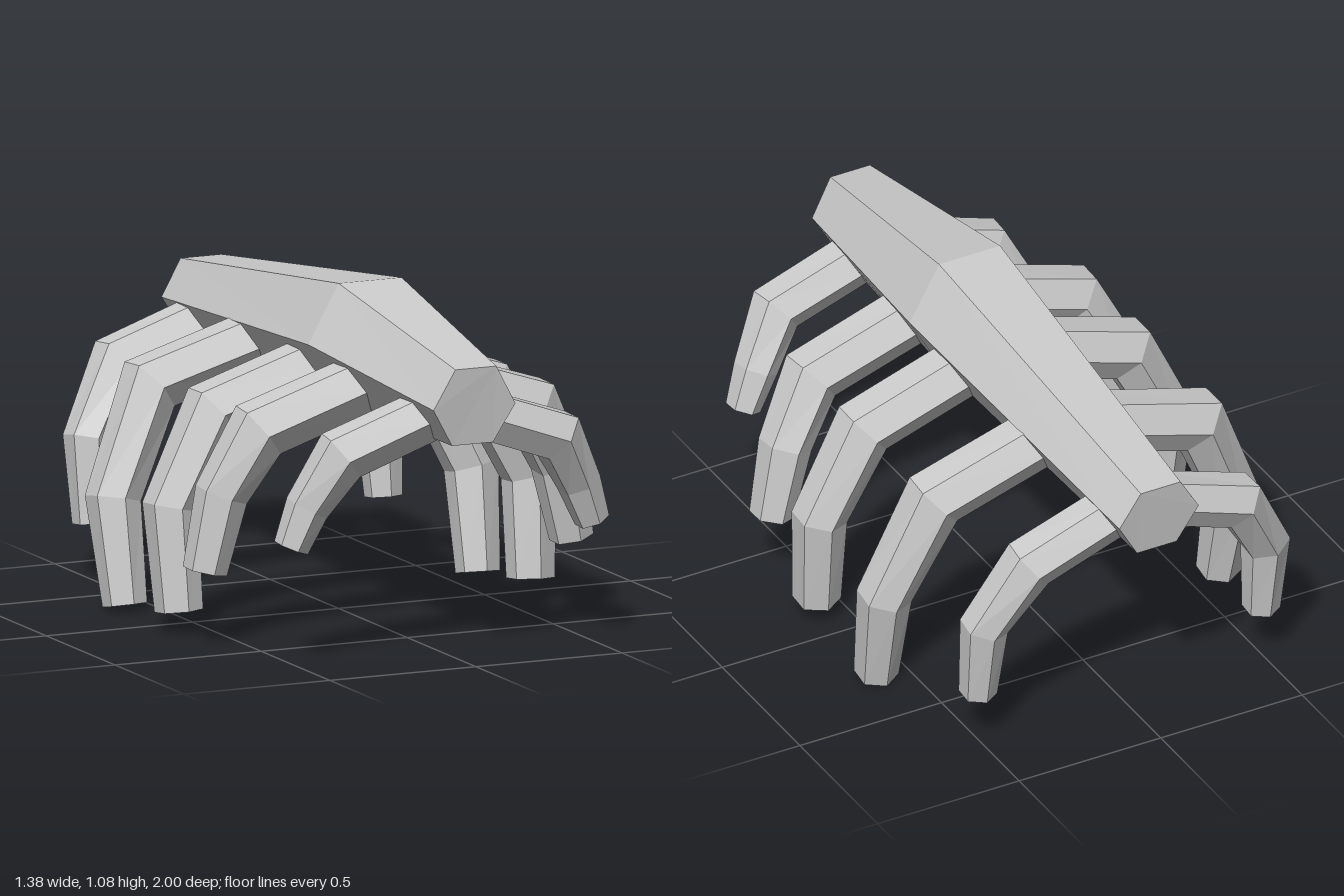
import * as THREE from 'three';

const material = new THREE.MeshStandardMaterial({ color: 0xcccccc, flatShading: true });

// Skins a list of rings (counter-clockwise about the direction of travel) and caps both ends.
function loft(rings) {
  const pos = [];
  const tri = (...pts) => pts.forEach((p) => pos.push(p.x, p.y, p.z));
  const n = rings[0].length;
  for (let k = 0; k < rings.length - 1; k++) {
    for (let i = 0; i < n; i++) {
      const j = (i + 1) % n;
      tri(rings[k][i], rings[k][j], rings[k + 1][j]);
      tri(rings[k][i], rings[k + 1][j], rings[k + 1][i]);
    }
  }
  const first = rings[0], last = rings[rings.length - 1];
  for (let i = 1; i < n - 1; i++) {
    tri(first[0], first[i + 1], first[i]);
    tri(last[0], last[i], last[i + 1]);
  }
  const geometry = new THREE.BufferGeometry();
  geometry.setAttribute('position', new THREE.Float32BufferAttribute(pos, 3));
  geometry.computeVertexNormals();
  return geometry;
}

// Six-sided tube along a bent path of [x, y, z, radius], mitred at the bends.
function ribGeometry(path, side) {
  const pts = path.map(([x, y, z]) => new THREE.Vector3(side * x, y, z));
  const dir = (a, b) => pts[b].clone().sub(pts[a]).normalize();
  const zAxis = new THREE.Vector3(0, 0, 1);
  const rings = pts.map((c, k) => {
    const before = dir(Math.max(k - 1, 0), Math.max(k, 1));
    const after = dir(Math.min(k, pts.length - 2), Math.min(k + 1, pts.length - 1));
    const t = before.clone().add(after).normalize();
    const n = zAxis.clone().cross(t).normalize();
    const b = t.clone().cross(n);
    const r = path[k][3], mitre = 1 / t.dot(before);
    return Array.from({ length: 6 }, (_, i) => {
      const a = (i + 0.5) * Math.PI / 3;
      return c.clone().addScaledVector(n, r * mitre * Math.cos(a)).addScaledVector(b, r * Math.sin(a));
    });
  });
  return loft(rings);
}

// Hexagonal spine section: half widths of the flats and the middle, with three heights.
function spineRing(zTop, zMid, zBottom, flat, wide, top, mid, bottom) {
  return [
    [flat, top, zTop], [-flat, top, zTop], [-wide, mid, zMid],
    [-flat, bottom, zBottom], [flat, bottom, zBottom], [wide, mid, zMid],
  ].map((p) => new THREE.Vector3(...p));
}

export function createModel() {
  const model = new THREE.Group();
  model.name = 'ribcage';

  // Spine, thickest ahead of the middle
  const spine = new THREE.Mesh(loft([
    spineRing(-1, -0.99, -0.975, 0.07, 0.14, 0.93, 0.815, 0.695),
    spineRing(0.23, 0.23, 0.23, 0.108, 0.212, 1.08, 0.895, 0.71),
    spineRing(1, 0.99, 0.975, 0.07, 0.14, 0.945, 0.82, 0.7),
  ]), material);
  spine.name = 'spine';
  model.add(spine);

  // Ribs from front to back: root, shoulder, elbow, tip
  const ribs = [
    [[0.08, 0.765, 0.805, 0.085], [0.37, 0.665, 0.805, 0.085], [0.465, 0.5, 0.76, 0.07], [0.515, 0.375, 0.75, 0.056]],
    [[0.08, 0.805, 0.405, 0.096], [0.465, 0.68, 0.405, 0.096], [0.575, 0.48, 0.37, 0.084], [0.627, 0.24, 0.362, 0.07]],
    [[0.08, 0.805, 0.07, 0.096], [0.465, 0.68, 0.07, 0.096], [0.613, 0.39, 0.08, 0.086], [0.602, 0.068, 0.118, 0.076]],
    [[0.08, 0.795, -0.385, 0.096], [0.465, 0.68, -0.385, 0.096], [0.613, 0.34, -0.337, 0.086], [0.604, 0.015, -0.27, 0.07]],
    [[0.08, 0.765, -0.825, 0.085], [0.37, 0.665, -0.825, 0.085], [0.497, 0.44, -0.768, 0.076], [0.5, 0.178, -0.735, 0.06]],
  ];
  ribs.forEach((path, i) => {
    for (const side of [1, -1]) {
      const rib = new THREE.Mesh(ribGeometry(path, side), material);
      rib.name = `${side > 0 ? 'left' : 'right'}Rib${i + 1}`;
      model.add(rib);
    }
  });
  return model;
}
